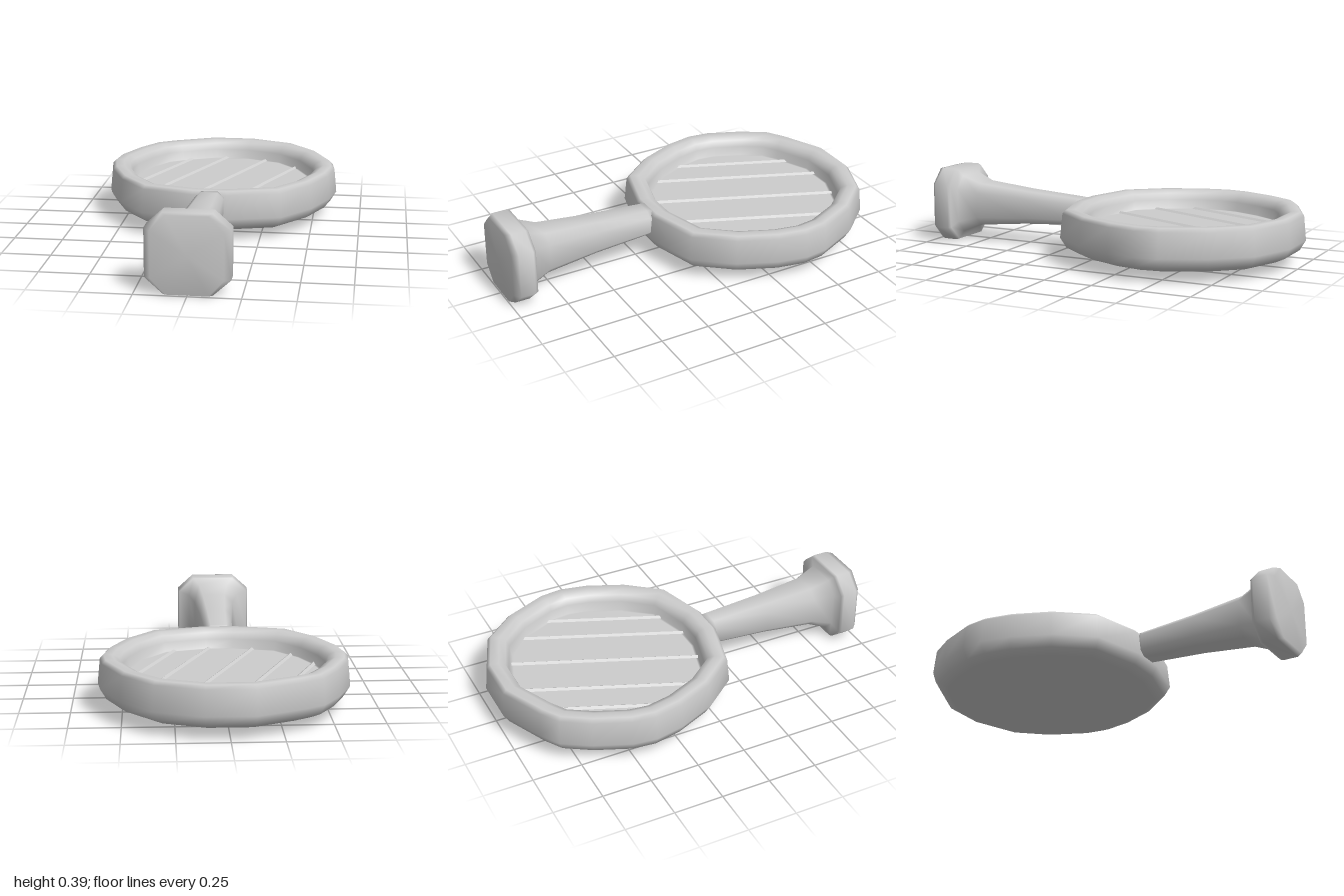
import * as THREE from 'three';
import { toCreasedNormals } from 'three/addons/utils/BufferGeometryUtils.js';

// Skin over a list of rings (arrays of [x, y, z]), closed by a fan at both ends.
function loft(rings, startCentre, endCentre) {
  const n = rings[0].length, last = (rings.length - 1) * n;
  const points = [...rings.flat(), startCentre, endCentre];
  const s = points.length - 2, e = points.length - 1, index = [];
  for (let j = 0; j < n; j++) {
    const k = (j + 1) % n;
    for (let i = 0; i < rings.length - 1; i++) {
      const a = i * n + j, b = i * n + k;
      index.push(a, b, b + n, a, b + n, a + n);
    }
    index.push(s, k, j, e, last + j, last + k);
  }
  const g = new THREE.BufferGeometry();
  g.setAttribute('position', new THREE.Float32BufferAttribute(points.flat(), 3));
  g.setIndex(index);
  g.computeVertexNormals();
  return g;
}

// Chamfered rectangle in the xy plane, counter-clockwise from the front.
function octagon(hx, hy, cx, cy, y, z) {
  const ix = hx - cx, iy = hy - cy;
  return [[hx, -iy], [hx, iy], [ix, hy], [-ix, hy], [-hx, iy], [-hx, -iy], [-ix, -hy], [ix, -hy]]
    .map(([px, py]) => [px, y + py, z]);
}

export function createModel() {
  const group = new THREE.Group();
  const grey = new THREE.MeshStandardMaterial({ color: 0xcccccc });
  grey.name = 'grey metal';
  const add = (name, geometry) => {
    const mesh = new THREE.Mesh(geometry, grey);
    mesh.name = name;
    group.add(mesh);
    return mesh;
  };
  const panZ = -0.4, floorY = 0.168;

  // Pan: slightly uneven many-sided outline scaled through a dish profile
  const outline = [[0.09, 0.6], [0.36, 0.525], [0.505, 0.345], [0.59, 0.15], [0.62, 0],
    [0.605, -0.12], [0.505, -0.34], [0.355, -0.51], [0.12, -0.6],
    [-0.12, -0.6], [-0.35, -0.495], [-0.445, -0.435], [-0.53, -0.3], [-0.605, -0.12],
    [-0.62, 0], [-0.59, 0.15], [-0.505, 0.345], [-0.36, 0.525], [-0.09, 0.6]];
  const profile = [[0.6, 0.045], [0.87, 0.047], [0.95, 0.07], [1, 0.122], [0.98, 0.245], [0.95, 0.263],
    [0.88, 0.263], [0.825, 0.248], [0.8, 0.215], [0.785, floorY], [0.765, floorY]];
  add('pan', loft(
    profile.map(([s, y]) => outline.map(([x, z]) => [x * s, y, panZ + z * s])),
    [0, 0.045, panZ], [0, floorY, panZ]));

  // Slanted low ridges running wall to wall across the cooking floor
  const slant = 0.39;
  for (const offset of [-0.37, -0.21, 0.015, 0.235, 0.385]) {
    const length = 2 * Math.sqrt(0.495 ** 2 - offset ** 2);
    const bar = new THREE.CylinderGeometry(0.013, 0.013, length, 4).rotateX(Math.PI / 2).scale(1, 0.7, 1);
    const ridge = add('ridge', toCreasedNormals(bar, 0.5));
    ridge.rotation.y = -slant;
    ridge.position.set(Math.cos(slant) * offset, floorY, panZ + Math.sin(slant) * offset);
  }

  // Handle flaring into a chamfered butt; stations are [z, half width, bottom, top]
  const stations = [[0.165, 0.075, 0.125, 0.26], [0.2, 0.073, 0.125, 0.264], [0.5, 0.086, 0.108, 0.283],
    [0.77, 0.108, 0.082, 0.307], [0.868, 0.138, 0.043, 0.344]];
  const shaft = stations.map(([z, hx, y0, y1]) =>
    octagon(hx, (y1 - y0) / 2, hx * 0.42, (y1 - y0) * 0.2, (y0 + y1) / 2, z));
  const butt = [[0.879, 0.193, 0.188], [0.895, 0.2, 0.193], [0.97, 0.2, 0.193], [0.998, 0.17, 0.188]]
    .map(([z, hx, hy]) => octagon(hx, hy, hx * 0.42, 0.076, 0.193, z));
  add('handle', loft([...shaft, ...butt], [0, 0.19, 0.165], [0, 0.193, 1]));

  return group;
}
